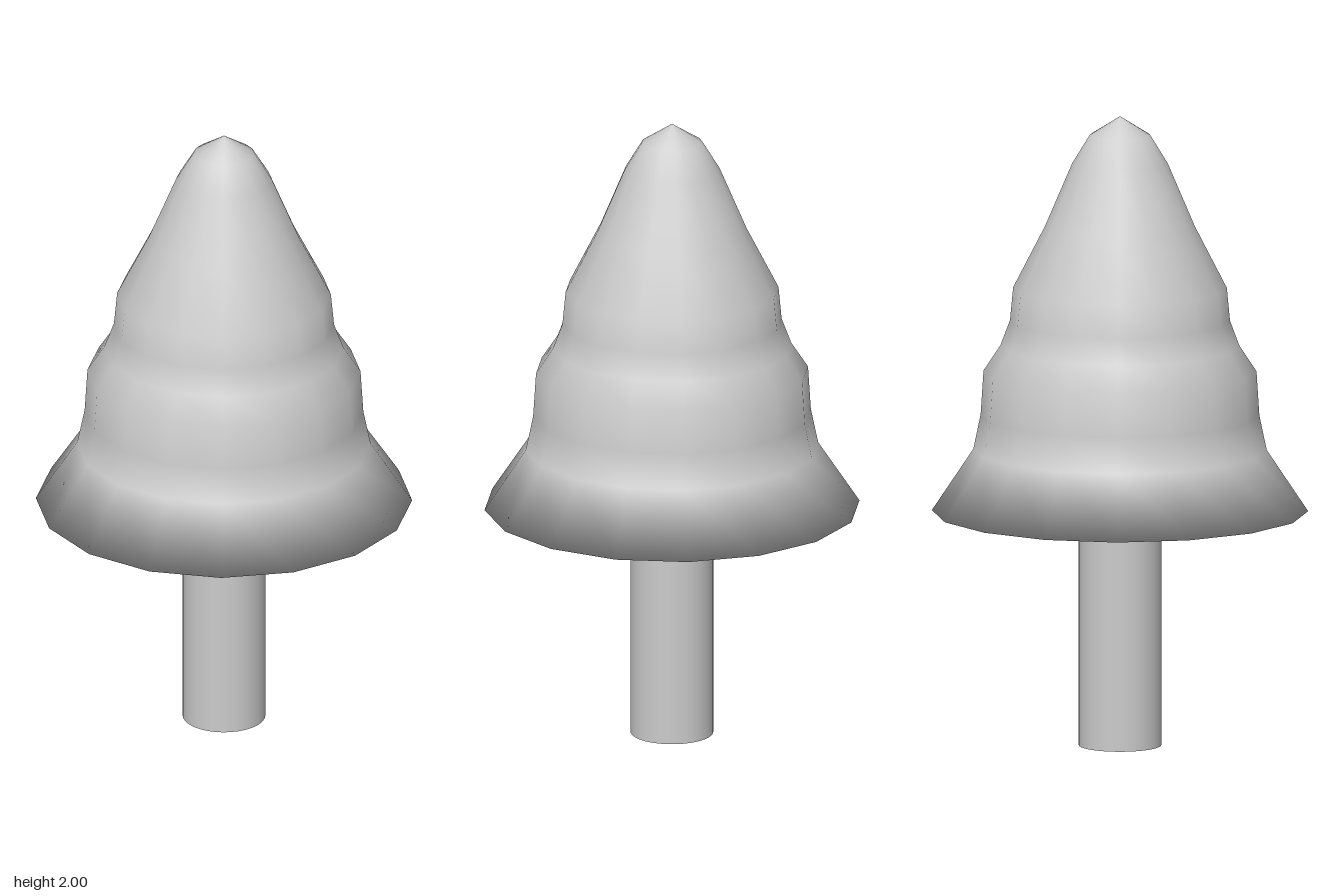
import * as THREE from 'three';

export function createModel() {
  const group = new THREE.Group();
  group.name = 'tree';
  const grey = new THREE.MeshStandardMaterial({ color: 0xcccccc });

  // Trunk, standing on the ground and ending just inside the foliage
  const trunk = new THREE.Mesh(new THREE.CylinderGeometry(0.13, 0.13, 0.75, 32), grey);
  trunk.position.y = 0.375;
  trunk.name = 'trunk';
  group.add(trunk);

  // Foliage: one closed, smooth surface as [radius, height] pairs
  const profile = [
    [0, 0.755], [0.13, 0.75], [0.59, 0.745],              // underside out to the rim
    [0.46, 0.94], [0.437, 1.05],                          // flared bottom tier
    [0.428, 1.19], [0.375, 1.27], [0.345, 1.35],          // middle tier
    [0.335, 1.455], [0.235, 1.65], [0.15, 1.85],          // top tier
    [0.095, 1.94], [0, 2],                                // rounded tip
  ].map(([r, y]) => new THREE.Vector2(r, y));
  const foliage = new THREE.Mesh(new THREE.LatheGeometry(profile, 16), grey);
  foliage.name = 'foliage';
  group.add(foliage);

  return group;
}
